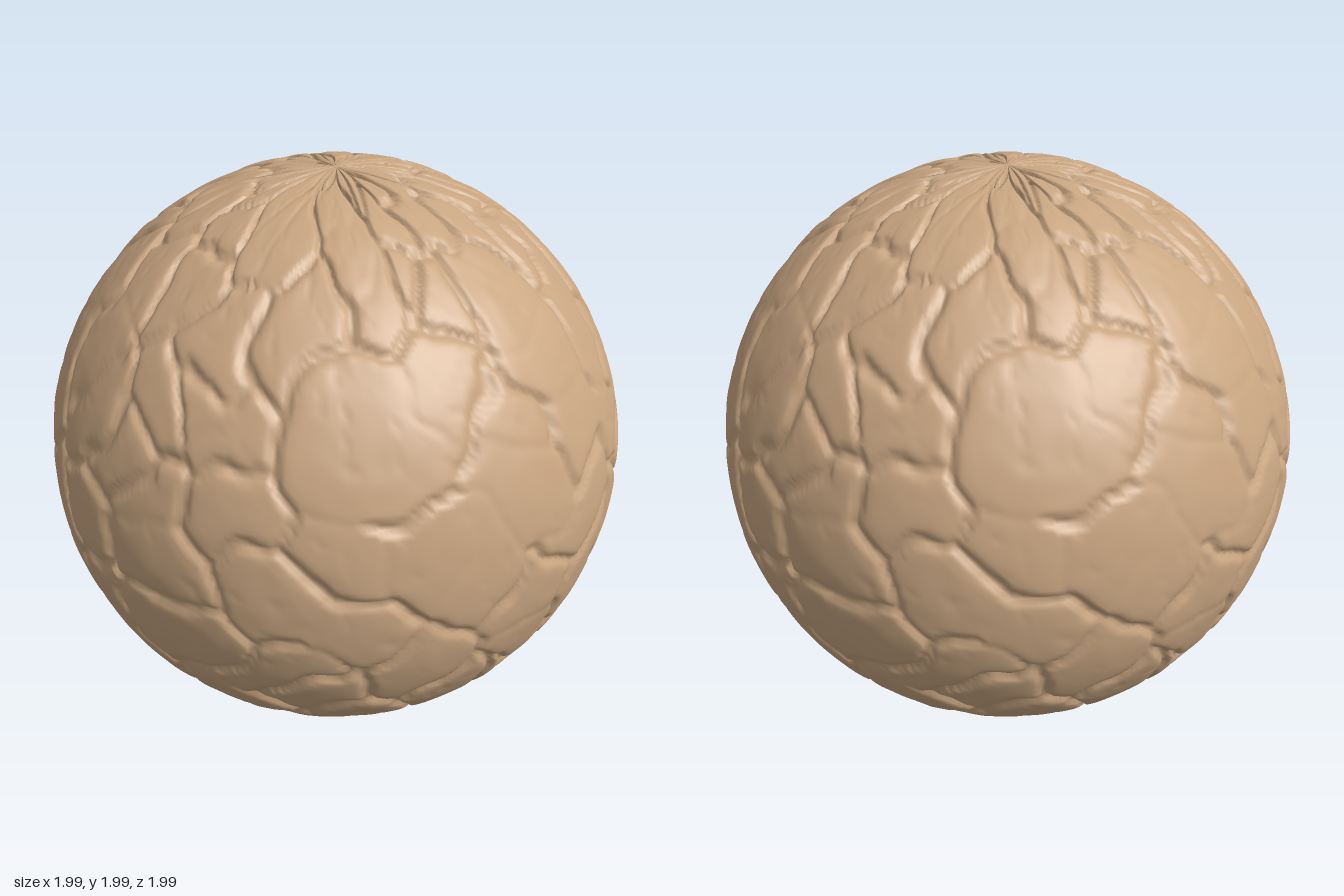
import * as THREE from 'three';
import { mergeVertices } from 'three/addons/utils/BufferGeometryUtils.js';

const CELLS = 11; // plates along each side of the square tile; the tile wraps twice round the ball

// Repeatable hash in 0..1
function hash(a, b, seed) {
  let h = Math.imul(a + 101, 374761393) ^ Math.imul(b + 57, 668265263) ^ Math.imul(seed + 13, 1274126177);
  h = Math.imul(h ^ (h >>> 13), 1274126177);
  h = Math.imul(h ^ (h >>> 16), 2246822519);
  return ((h ^ (h >>> 15)) >>> 0) / 4294967296;
}
const wrap = (i, n) => ((i % n) + n) % n;
const smooth = THREE.MathUtils.smoothstep;

// Value noise that repeats with the tile
function noise(u, v, freq, seed) {
  const x = u * freq, y = v * freq, n = CELLS * freq;
  const i = Math.floor(x), j = Math.floor(y);
  const fx = smooth(x - i, 0, 1), fy = smooth(y - j, 0, 1);
  const at = (a, b) => hash(wrap(a, n), b, seed);
  const low = at(i, j) * (1 - fx) + at(i + 1, j) * fx;
  const high = at(i, j + 1) * (1 - fx) + at(i + 1, j + 1) * fx;
  return low * (1 - fy) + high * fy - 0.5;
}

// Depth below the outer radius: irregular plates parted by cracks
function depthAt(u0, v0) {
  const u = u0 + 0.55 * noise(u0, v0, 1, 1) + 0.22 * noise(u0, v0, 3, 2);
  const v = v0 + 0.55 * noise(u0, v0, 1, 3) + 0.22 * noise(u0, v0, 3, 4);
  const iu = Math.floor(u), iv = Math.floor(v);
  const sites = [];
  for (let a = iu - 2; a <= iu + 2; a++) {
    for (let b = iv - 2; b <= iv + 2; b++) {
      const w = wrap(a, CELLS);
      const x = a + hash(w, b, 5), y = b + hash(w, b, 6);
      sites.push({ x, y, id: w * 64 + b + 8, d: (x - u) ** 2 + (y - v) ** 2 });
    }
  }
  sites.sort((p, q) => p.d - q.d);
  const near = sites[0];
  let crack = 0;
  for (const s of sites.slice(1, 8)) {
    const gap = Math.hypot(s.x - near.x, s.y - near.y);
    const edge = (s.d - near.d) / (2 * gap);
    // Some neighbours share a faint seam, others a deep crack
    const r = hash(Math.min(s.id, near.id), Math.max(s.id, near.id), 7);
    const strength = r < 0.22 ? 0.12 : 0.6 + 0.4 * r;
    const profile = 0.75 * (1 - smooth(edge, 0.01, 0.085)) + 0.25 * (1 - smooth(edge, 0, 0.2));
    crack = Math.max(crack, strength * profile);
  }
  // Small pits and gentle unevenness on the plates
  const pits = smooth(noise(u0, v0, 7, 8), 0.3, 0.5) * 0.003;
  const rough = 0.005 * noise(u0, v0, 2, 9) + 0.002 * noise(u0, v0, 5, 10);
  return 0.005 + 0.024 * crack + pits + rough;
}

export function createModel() {
  const group = new THREE.Group();
  group.name = 'crackedBall';
  const clay = new THREE.MeshStandardMaterial({ color: 0xc8a581 });
  clay.name = 'tan clay';

  // Fine ball pushed inward along its radius by the crack pattern
  const ball = new THREE.SphereGeometry(1, 380, 190);
  const pos = ball.attributes.position, uv = ball.attributes.uv;
  const p = new THREE.Vector3();
  for (let i = 0; i < pos.count; i++) {
    const v = uv.getY(i);
    const poleFade = smooth(Math.min(v, 1 - v), 0, 0.03);
    const depth = depthAt(uv.getX(i) * 2 * CELLS, (1 - v) * CELLS);
    p.fromBufferAttribute(pos, i).multiplyScalar(1 - 0.004 - (depth - 0.004) * poleFade);
    pos.setXYZ(i, p.x, p.y, p.z);
  }
  // Weld the seam so the shading runs smoothly across it
  ball.deleteAttribute('uv');
  ball.deleteAttribute('normal');
  const skin = mergeVertices(ball, 1e-5);
  skin.computeVertexNormals();

  const crust = new THREE.Mesh(skin, clay);
  crust.name = 'crackedCrust';
  crust.position.y = 1;
  group.add(crust);
  return group;
}
